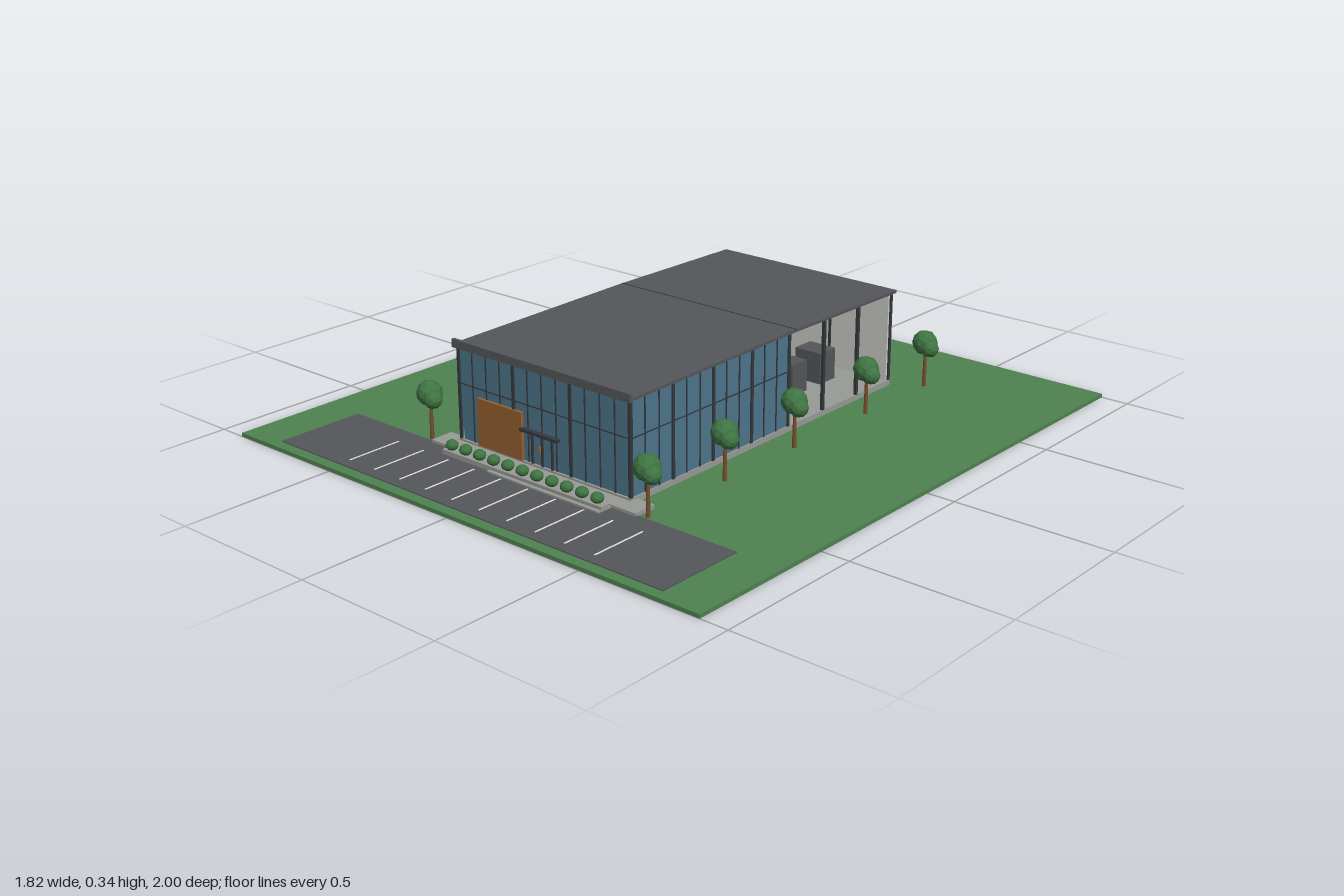
import * as THREE from 'three';

const mat = (name, color) => {
  const m = new THREE.MeshStandardMaterial({ color });
  m.name = name;
  return m;
};

export function createModel() {
  const root = new THREE.Group();
  root.name = 'officeWarehouse';
  const grass = mat('grass', 0x4f8250), slate = mat('slateGrey', 0x54565a), concrete = mat('concrete', 0x989a96);
  const white = mat('wallPanel', 0xcbcbc6), glass = mat('blueGlass', 0x4c758b), frame = mat('darkFrame', 0x34393d);
  const wood = mat('wood', 0x96602f), bark = mat('bark', 0x77502c), stripe = mat('paintStripe', 0xe2e2dc);
  const leaf = mat('leaf', 0x3f7442);
  leaf.flatShading = true;

  // box from its minimum and maximum corners
  const box = (name, m, x0, x1, y0, y1, z0, z1, parent = root) => {
    const b = new THREE.Mesh(new THREE.BoxGeometry(x1 - x0, y1 - y0, z1 - z0), m);
    b.position.set((x0 + x1) / 2, (y0 + y1) / 2, (z0 + z1) / 2);
    b.name = name;
    parent.add(b);
    return b;
  };

  // site
  box('lawn', grass, -0.91, 0.91, 0, 0.012, -1, 1);
  box('parkingLot', slate, -0.76, 0.76, 0.01, 0.015, 0.67, 0.965);
  for (let i = 0; i < 10; i++) {
    const x = -0.49 + i * 0.109;
    box('parkingStripe', stripe, x - 0.0025, x + 0.0025, 0.014, 0.0165, 0.74, 0.93);
  }
  box('frontWalk', concrete, -0.41, 0.41, 0.01, 0.024, 0.6, 0.68);
  box('planter', concrete, -0.32, 0.32, 0.01, 0.03, 0.69, 0.72);
  box('entryStep', concrete, -0.12, 0.32, 0.01, 0.02, 0.68, 0.732);

  // building shell
  const W = 0.34, B = -0.62, F = 0.62, M = -0.089, Y0 = 0.03, Y1 = 0.325, MID = 0.175;
  box('floorSlab', concrete, -W - 0.005, W + 0.005, 0.01, Y0, B - 0.005, F + 0.007);
  box('backWall', white, -W, W, Y0, Y1, B, B + 0.012);
  box('sideWall', white, -W, -W + 0.012, Y0, Y1, B, M);
  box('sideWallLower', white, -W, -W + 0.012, Y0, MID, M, F);
  box('sideGlassUpper', glass, -W, -W + 0.01, MID, Y1, M, F);
  box('sideGlass', glass, W - 0.01, W, Y0, Y1, M, F);
  box('frontGlass', glass, -W, W, Y0, Y1, F - 0.01, F);
  box('partition', white, -W + 0.012, W - 0.01, Y0, Y1, M, M + 0.01);

  // columns on a seven-bay grid along the sides and three bays across the ends
  for (let i = 0; i <= 7; i++) {
    const z = B + i * (F - B) / 7;
    for (const s of [-1, 1]) {
      box('sideColumn', frame, s * W - 0.005, s * W + 0.005, Y0, Y1, z - 0.005, z + 0.005);
    }
  }
  for (let i = 1; i < 3; i++) {
    const x = -W + i * 2 * W / 3;
    box('frontColumn', frame, x - 0.005, x + 0.005, Y0, Y1, F - 0.005, F + 0.005);
    box('backColumn', frame, x - 0.005, x + 0.005, Y0, Y1, B - 0.005, B + 0.014);
  }

  // thin mullions over the glass
  for (let i = 1; i < 12; i++) {
    const x = -W + i * 2 * W / 12, z = M + i * (F - M) / 12;
    box('frontMullion', frame, x - 0.0018, x + 0.0018, Y0, Y1, F - 0.002, F + 0.003);
    box('sideMullion', frame, W - 0.002, W + 0.003, Y0, Y1, z - 0.0018, z + 0.0018);
    box('upperMullion', frame, -W - 0.003, -W + 0.002, MID, Y1, z - 0.0018, z + 0.0018);
  }
  box('frontRail', frame, -W, W, MID + 0.03, MID + 0.033, F - 0.002, F + 0.003);
  box('sideRail', frame, W - 0.002, W + 0.003, MID + 0.03, MID + 0.033, M, F);

  // shallow gabled roof with a front parapet
  const profile = new THREE.Shape();
  [[0.63, 0.321], [-0.107, 0.329], [-0.635, 0.324], [-0.635, 0.333], [-0.107, 0.338], [0.63, 0.33]]
    .forEach(([z, y], i) => (i ? profile.lineTo(z, y) : profile.moveTo(z, y)));
  const roofGeo = new THREE.ExtrudeGeometry(profile, { depth: 0.704, bevelEnabled: false });
  roofGeo.rotateY(-Math.PI / 2).translate(0.352, 0, 0);
  const roof = new THREE.Mesh(roofGeo, slate);
  roof.name = 'roof';
  root.add(roof);
  box('roofRidge', frame, -0.352, 0.352, 0.336, 0.339, -0.109, -0.105);
  box('parapet', slate, -0.353, 0.353, 0.319, 0.345, 0.624, 0.635);

  // entrance
  box('woodPanel', wood, -0.26, -0.077, Y0, 0.18, F - 0.005, F + 0.01);
  box('entryCanopy', frame, -0.08, 0.07, 0.125, 0.134, F - 0.005, F + 0.016);
  for (const x of [-0.04, 0, 0.04]) {
    box('doorFrame', frame, x - 0.003, x + 0.003, Y0, 0.126, F - 0.002, F + 0.006);
  }
  box('doorHandle', wood, -0.012, -0.007, 0.07, 0.09, F, F + 0.008);

  // goods in the open bays
  box('storageUnit', slate, 0.1, 0.2, Y0, 0.134, -0.37, -0.295);
  box('storageUnit', slate, 0.1, 0.2, Y0, 0.134, -0.52, -0.44);
  box('crate', wood, 0.14, 0.2, Y0, 0.06, -0.295, -0.268);

  // trees: trunk and three faceted crown lobes
  const trunkGeo = new THREE.CylinderGeometry(0.005, 0.007, 0.12, 7);
  const ball = new THREE.IcosahedronGeometry(1, 1);
  const lobe = (parent, name, r, x, y, z, sy = 1) => {
    const m = new THREE.Mesh(ball, leaf);
    m.scale.set(r, r * sy, r);
    m.position.set(x, y, z);
    m.name = name;
    parent.add(m);
  };
  for (const x of [-0.435, 0.435]) {
    for (const z of [-0.69, -0.365, 0, 0.325, 0.655]) {
      const tree = new THREE.Group();
      tree.name = 'tree';
      const trunk = new THREE.Mesh(trunkGeo, bark);
      trunk.name = 'trunk';
      trunk.position.y = 0.068;
      tree.add(trunk);
      lobe(tree, 'crown', 0.041, -0.004, 0.159, -0.001);
      lobe(tree, 'crownLobe', 0.03, 0.02, 0.147, 0.008);
      lobe(tree, 'crownLobe', 0.028, -0.022, 0.149, -0.008);
      tree.position.set(x, 0, z);
      root.add(tree);
    }
  }

  // shrub row
  for (let i = 0; i < 11; i++) lobe(root, 'shrub', 0.02, -0.293 + i * 0.0585, 0.046, 0.705, 0.85);

  return root;
}
